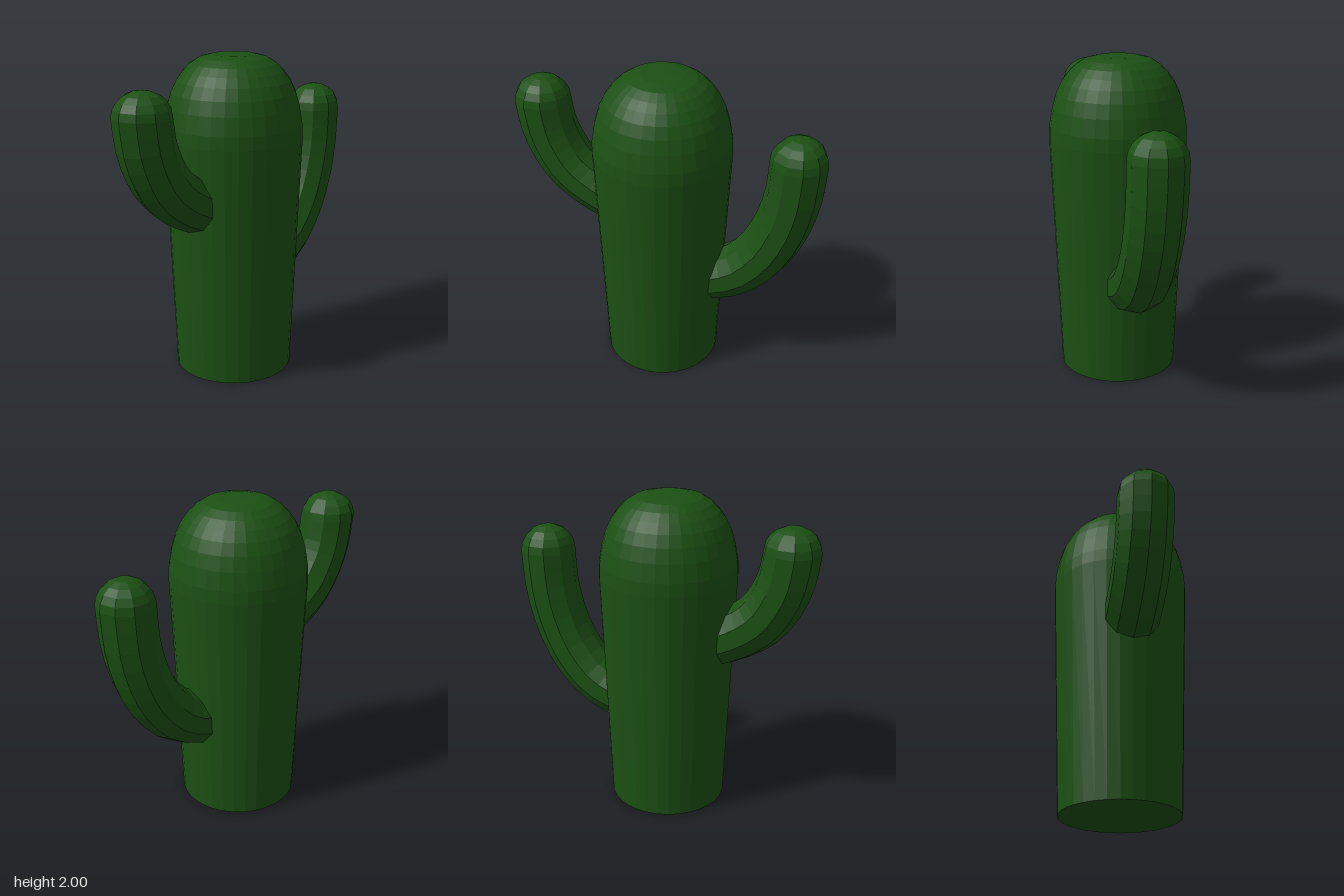
import * as THREE from 'three';

const green = new THREE.MeshStandardMaterial({ color: 0x1c5014, flatShading: true });
const SIDES = 10, RADIUS = 0.172;

// Curved ten-sided arm in the yz plane, swept along [z, y] points and closed by a dome
function arm(name, points, domeHeight) {
  const curve = new THREE.CatmullRomCurve3(points.map(([z, y]) => new THREE.Vector3(0, y, z)));
  const rings = [];
  const steps = 11, domeSteps = 5;
  for (let i = 0; i <= steps; i++) {
    rings.push({ c: curve.getPointAt(i / steps), t: curve.getTangentAt(i / steps), r: RADIUS });
  }
  const tip = rings[steps].c;
  const up = new THREE.Vector3(0, 1, 0);
  rings[steps].t = up;
  for (let i = 1; i <= domeSteps; i++) {
    const a = (i / domeSteps) * Math.PI / 2;
    const c = tip.clone().addScaledVector(up, domeHeight * Math.sin(a));
    rings.push({ c, t: up, r: Math.max(RADIUS * Math.cos(a), 0.0005) });
  }

  const xAxis = new THREE.Vector3(1, 0, 0);
  const positions = [], index = [];
  rings.forEach(({ c, t, r }, i) => {
    const n = new THREE.Vector3().crossVectors(t, xAxis);
    for (let j = 0; j < SIDES; j++) {
      // half a step of turn leaves flat faces at the left and right
      const a = ((j + 0.5) / SIDES) * Math.PI * 2;
      const p = c.clone().addScaledVector(xAxis, r * Math.cos(a)).addScaledVector(n, r * Math.sin(a));
      positions.push(p.x, p.y, p.z);
      if (i === 0) continue;
      const k = (j + 1) % SIDES, lo = (i - 1) * SIDES, hi = i * SIDES;
      index.push(lo + j, lo + k, hi + j, lo + k, hi + k, hi + j);
    }
  });

  const geometry = new THREE.BufferGeometry();
  geometry.setAttribute('position', new THREE.Float32BufferAttribute(positions, 3));
  geometry.setIndex(index);
  geometry.computeVertexNormals();
  const mesh = new THREE.Mesh(geometry, green);
  mesh.name = name;
  return mesh;
}

export function createModel() {
  const group = new THREE.Group();
  group.name = 'cactus';

  // Trunk: widens upward, then rounds over to a small flat top
  const profile = [
    [0, 0], [0.368, 0], [0.425, 1.5], [0.422, 1.58], [0.403, 1.69], [0.378, 1.775],
    [0.345, 1.845], [0.305, 1.9], [0.26, 1.945], [0.205, 1.98], [0.13, 1.998], [0, 2],
  ].map(([r, y]) => new THREE.Vector2(r, y));
  const trunk = new THREE.Mesh(new THREE.LatheGeometry(profile, 32), green);
  trunk.name = 'trunk';
  trunk.position.z = 0.033;
  group.add(trunk);

  // Short, high arm at the front and long, low arm at the back
  group.add(arm('frontArm', [
    [0.25, 1.085], [0.37, 1.13], [0.525, 1.21], [0.635, 1.3], [0.715, 1.42], [0.77, 1.56], [0.797, 1.73],
  ], 0.15));
  group.add(arm('backArm', [
    [-0.2, 0.62], [-0.3, 0.643], [-0.41, 0.685], [-0.5, 0.745], [-0.58, 0.83],
    [-0.66, 0.95], [-0.735, 1.13], [-0.78, 1.33], [-0.795, 1.56],
  ], 0.16));

  return group;
}
